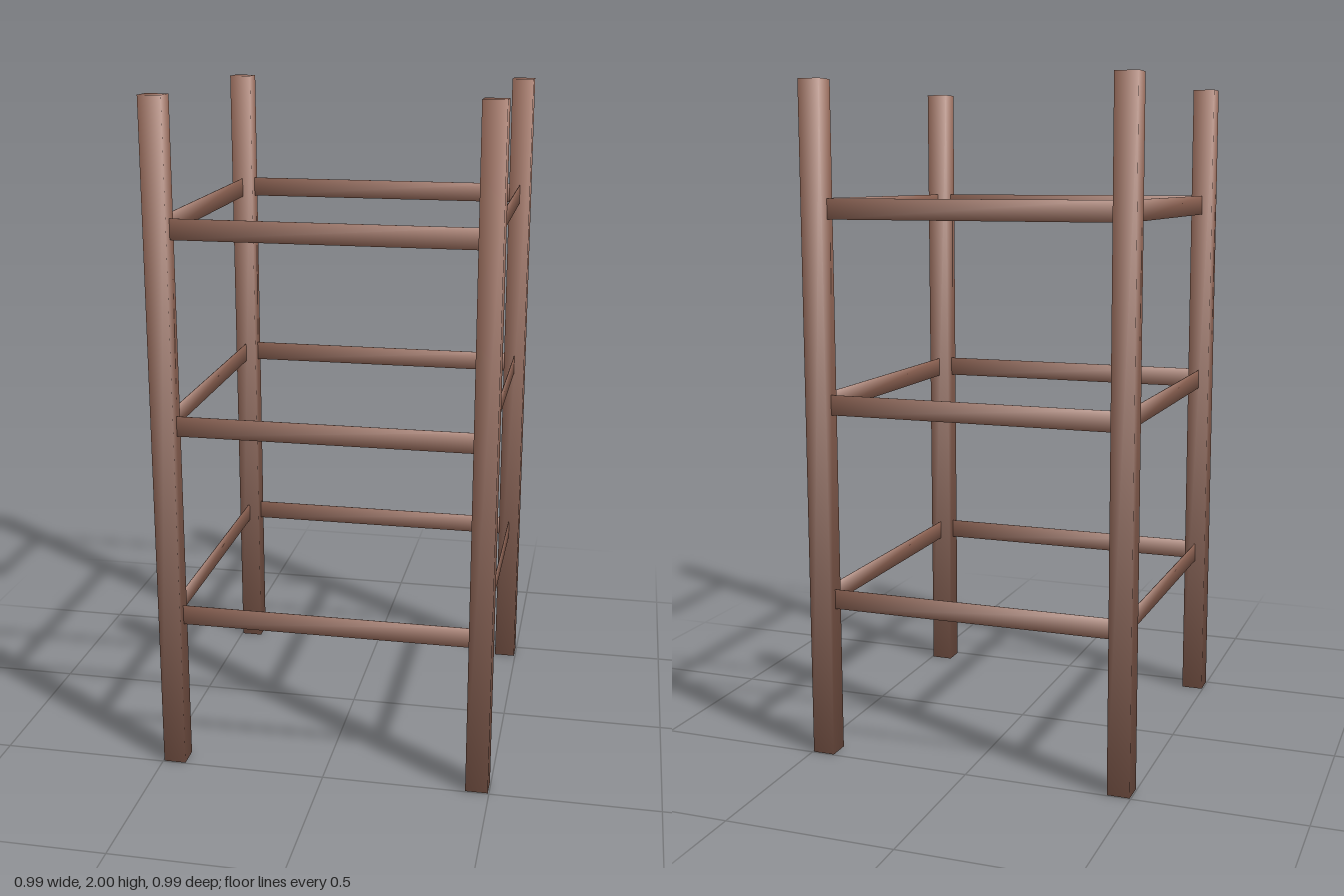
import * as THREE from 'three';

const POST = 0.067;          // post thickness
const OFFSET = 0.463;        // post centre distance from the axes
const HEIGHT = 2;
const RAIL_HEIGHT = 0.06;
const RAIL_LEVELS = [0.478, 1.066, 1.635];

// Box whose normals point out through the corners, for soft rounded shading
function softBox(width, height, depth) {
  const geometry = new THREE.BoxGeometry(width, height, depth);
  const { position, normal } = geometry.attributes;
  const n = new THREE.Vector3();
  for (let i = 0; i < position.count; i++) {
    n.set(Math.sign(position.getX(i)), Math.sign(position.getY(i)), Math.sign(position.getZ(i))).normalize();
    normal.setXYZ(i, n.x, n.y, n.z);
  }
  return geometry;
}

export function createModel() {
  const wood = new THREE.MeshStandardMaterial({ color: 0x9a6c5b });
  wood.name = 'brown wood';

  const model = new THREE.Group();
  model.name = 'openFrameTower';

  // Four corner posts
  const postGeometry = softBox(POST, HEIGHT, POST);
  for (const x of [-1, 1]) {
    for (const z of [-1, 1]) {
      const post = new THREE.Mesh(postGeometry, wood);
      post.name = `${z > 0 ? 'front' : 'back'}${x > 0 ? 'Left' : 'Right'}Post`;
      post.position.set(x * OFFSET, HEIGHT / 2, z * OFFSET);
      model.add(post);
    }
  }

  // Paper-thin rails between the posts, three on each side
  const railGeometry = softBox(2 * OFFSET - POST, RAIL_HEIGHT, 0.002);
  ['front', 'left', 'back', 'right'].forEach((sideName, i) => {
    const side = new THREE.Group();
    side.name = `${sideName}Rails`;
    side.rotation.y = i * Math.PI / 2;
    for (const y of RAIL_LEVELS) {
      const rail = new THREE.Mesh(railGeometry, wood);
      rail.name = 'rail';
      rail.position.set(0, y, OFFSET);
      side.add(rail);
    }
    model.add(side);
  });

  return model;
}
